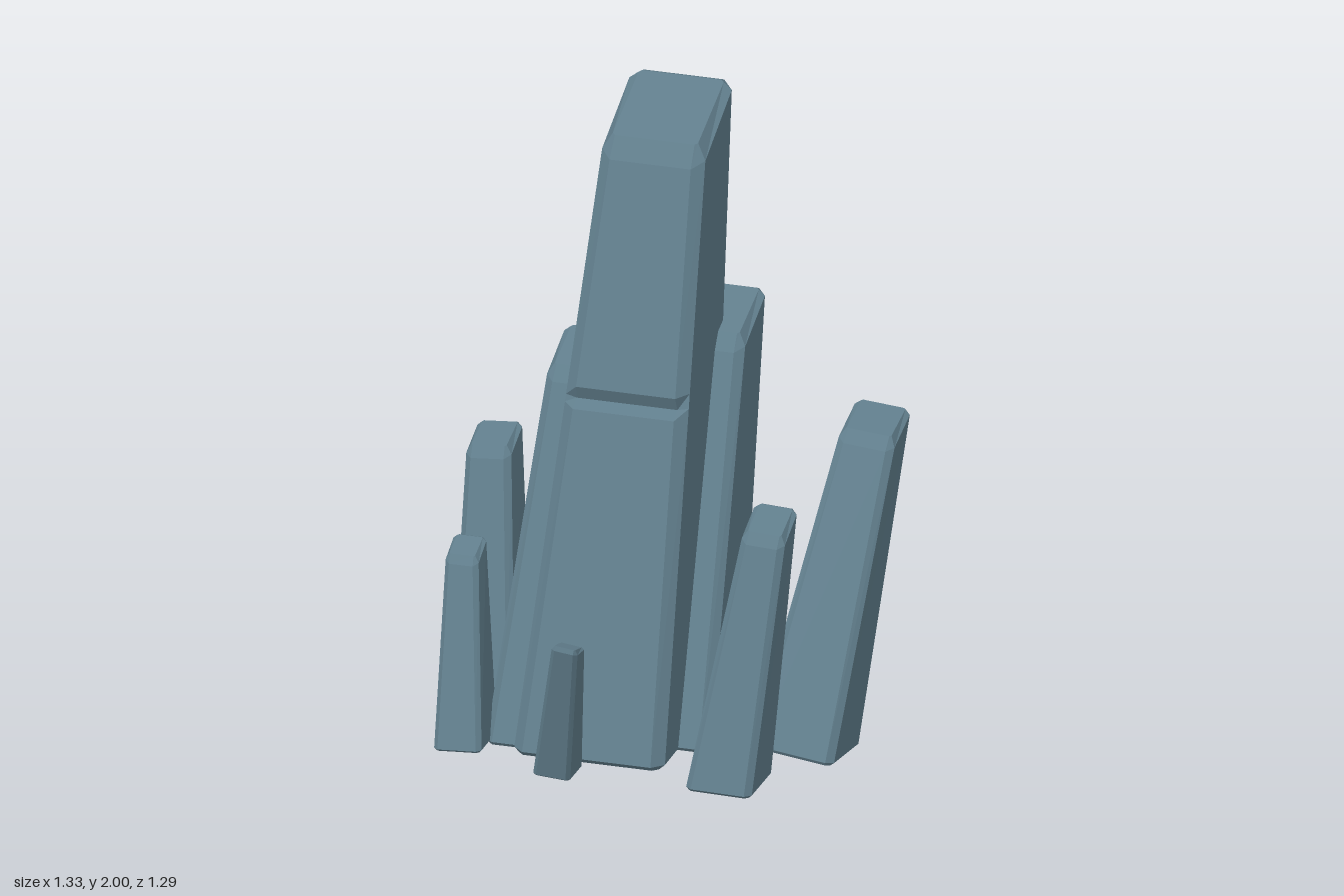
import * as THREE from 'three';

const lerp = THREE.MathUtils.lerp;

// A slab end: x range, z range (back, front), y at back, y at front, extra y at its left (+x) side
const end = (x0, x1, z0, z1, yBack, yFront, tilt = 0) => ({ x0, x1, z0, z1, yBack, yFront, tilt });

// Point of a slab end, on an octagon with cut corners
function ringOf(e, cut, inset) {
  const x0 = e.x0 + inset, x1 = e.x1 - inset, z0 = e.z0 + inset, z1 = e.z1 - inset;
  const outline = [
    [x0 + cut, z1], [x1 - cut, z1], [x1, z1 - cut], [x1, z0 + cut],
    [x1 - cut, z0], [x0 + cut, z0], [x0, z0 + cut], [x0, z1 - cut],
  ];
  return outline.map(([x, z]) => {
    const u = (x - e.x0) / (e.x1 - e.x0), v = (z - e.z0) / (e.z1 - e.z0);
    return new THREE.Vector3(x, lerp(e.yBack, e.yFront, v) + u * e.tilt, z);
  });
}

// Leaning, tapering shard with chamfered edges; groove = optional height fraction of a front notch
function shardGeometry(base, top, bevel, groove) {
  const height = top.yFront - base.yFront;
  const low = ringOf(base, bevel, 0), high = ringOf(top, bevel, 0);
  const frontness = [1, 1, 0.9, 0.35, 0.3, 0.3, 0.35, 0.9];
  const between = (t) => low.map((p, i) => p.clone().lerp(high[i], t));
  const rings = [
    ringOf(base, bevel * 0.5, bevel * 0.5),
    between((bevel * 0.4) / height),
  ];
  if (groove) {
    const notch = between(groove + 0.012);
    notch[0].z -= bevel * 0.9;
    notch[1].z -= bevel * 0.9;
    rings.push(between(groove), notch, between(groove + 0.036));
  }
  rings.push(
    low.map((p, i) => p.clone().lerp(high[i], 1 - (bevel * 1.5 * frontness[i]) / height)),
    ringOf(top, bevel * 0.25, bevel * 0.75),
  );

  const pos = [];
  const tri = (a, b, c) => pos.push(...a, ...b, ...c);
  for (let r = 0; r < rings.length - 1; r++) {
    for (let k = 0; k < 8; k++) {
      const n = (k + 1) % 8, A = rings[r], B = rings[r + 1];
      tri(A[k], A[n], B[n]);
      tri(A[k], B[n], B[k]);
    }
  }
  // end caps
  const first = rings[0], last = rings[rings.length - 1];
  for (let k = 1; k < 7; k++) {
    tri(last[0], last[k], last[k + 1]);
    tri(first[0], first[k + 1], first[k]);
  }
  const g = new THREE.BufferGeometry();
  g.setAttribute('position', new THREE.Float32BufferAttribute(pos, 3));
  g.computeVertexNormals();
  return g;
}

export function createModel() {
  const slate = new THREE.MeshStandardMaterial({ color: 0x607d8b });
  slate.name = 'slate blue';
  const group = new THREE.Group();
  group.name = 'rockSpires';

  const shards = [
    // tall central spire with a notch across its front
    ['mainSpire', end(-0.322, 0.167, -0.15, 0.373, 0.085, 0.09), end(-0.242, 0.088, -0.652, -0.315, 2.011, 1.89), 0.036, 0.565],
    // two spires leaning against its back
    ['backLeftSpire', end(-0.06, 0.262, -0.168, 0.2, 0.075, 0.095), end(-0.01, 0.207, -0.607, -0.355, 1.34, 1.26), 0.028],
    ['backRightSpire', end(-0.427, -0.13, 0.0, 0.318, 0.075, 0.09), end(-0.382, -0.18, -0.415, -0.198, 1.225, 1.155), 0.026],
    // outer shards
    ['leftOuterShard', end(0.358, 0.625, -0.222, 0.076, 0.035, 0.082, -0.035), end(0.485, 0.662, -0.65, -0.462, 0.985, 0.947, -0.015), 0.022],
    ['leftFrontShard', end(0.254, 0.467, 0.178, 0.418, 0.055, 0.063, -0.004), end(0.355, 0.492, -0.015, 0.138, 0.88, 0.828, -0.007), 0.02],
    ['rightOuterShard', end(-0.632, -0.423, -0.202, 0.022, 0.042, 0.05, 0.018), end(-0.667, -0.523, -0.415, -0.264, 0.86, 0.82, 0.012), 0.02],
    ['rightFrontShard', end(-0.562, -0.408, 0.22, 0.408, 0.085, 0.088, 0.01), end(-0.59, -0.485, 0.085, 0.193, 0.692, 0.655), 0.015],
    ['smallFrontShard', end(-0.203, -0.083, 0.385, 0.528, 0.1, 0.104, -0.008), end(-0.103, -0.02, 0.56, 0.65, 0.58, 0.604, -0.01), 0.012],
  ];
  for (const [name, base, top, bevel, groove] of shards) {
    const mesh = new THREE.Mesh(shardGeometry(base, top, bevel, groove), slate);
    mesh.name = name;
    group.add(mesh);
  }
  return group;
}
